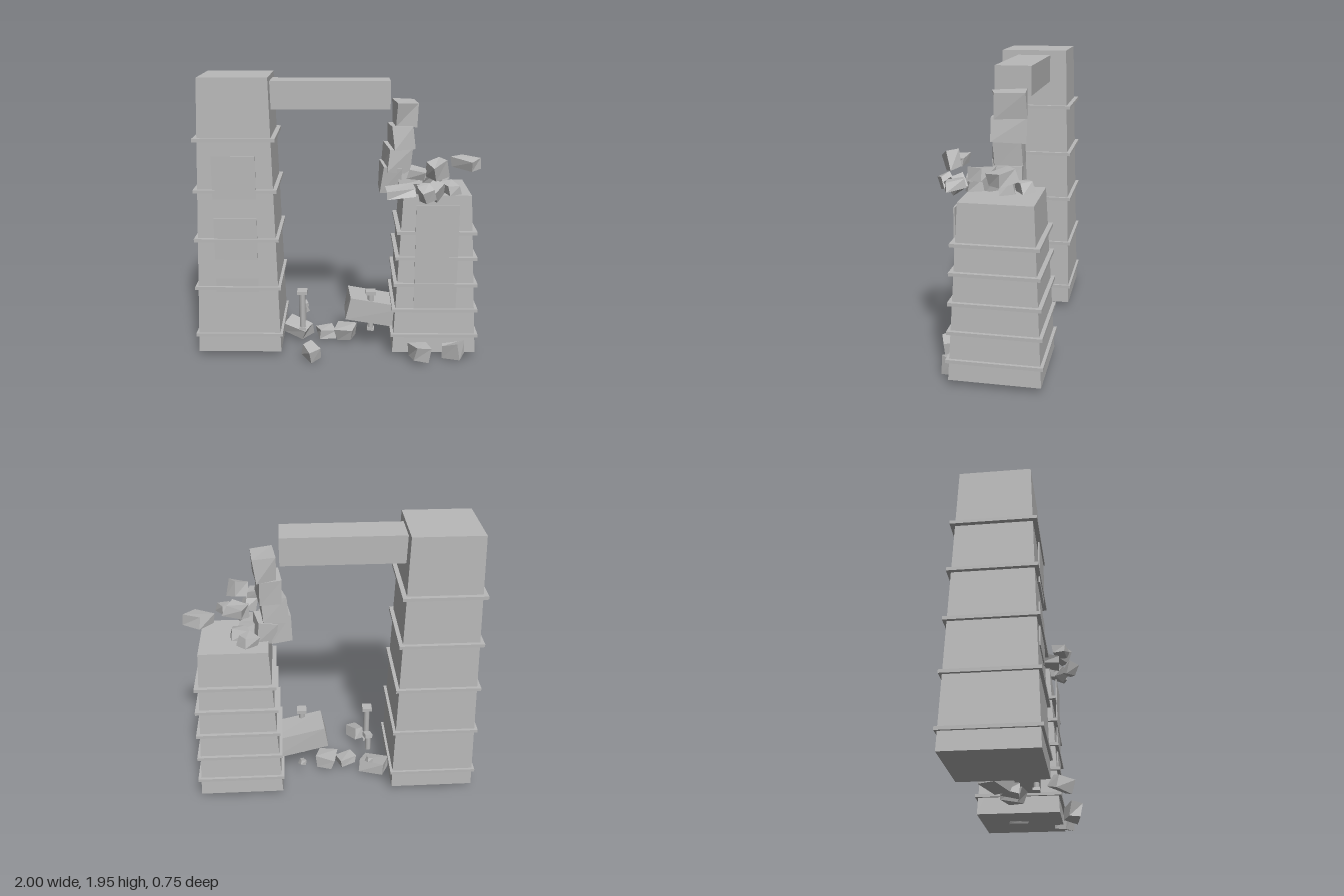
import * as THREE from 'three';

const stone = new THREE.MeshStandardMaterial({ color: 0xb8b8b8 });
stone.name = 'greyStone';

function add(parent, name, geometry, x, y, z, rx = 0, ry = 0, rz = 0) {
  const mesh = new THREE.Mesh(geometry, stone);
  mesh.name = name;
  mesh.position.set(x, y, z);
  mesh.rotation.set(rx, ry, rz);
  parent.add(mesh);
  return mesh;
}

// Square block that narrows from half-width a at the foot to b at the top
function taperedBlock(a, b, height) {
  const g = new THREE.BoxGeometry(2, height, 2);
  const p = g.attributes.position;
  for (let i = 0; i < p.count; i++) {
    const s = p.getY(i) > 0 ? b : a;
    p.setX(i, p.getX(i) * s);
    p.setZ(i, p.getZ(i) * s);
  }
  g.computeVertexNormals();
  return g;
}

// Box whose eight corners are pushed about by a seeded rule, with flat faces
function brokenBlock(w, h, d, seed, amount) {
  const g = new THREE.BoxGeometry(w, h, d).toNonIndexed();
  const p = g.attributes.position;
  const noise = (corner, axis) => {
    const n = Math.sin(seed * 12.99 + corner * 78.23 + axis * 37.72) * 43758.5;
    return (n - Math.floor(n) - 0.5) * amount;
  };
  for (let i = 0; i < p.count; i++) {
    const x = p.getX(i), y = p.getY(i), z = p.getZ(i);
    const corner = (x > 0 ? 1 : 0) + (y > 0 ? 2 : 0) + (z > 0 ? 4 : 0);
    p.setXYZ(i, x + noise(corner, 0) * w, y + noise(corner, 1) * h, z + noise(corner, 2) * d);
  }
  g.computeVertexNormals();
  return g;
}

const CENTRE_Z = -0.07;
const FOOT_Y = 0.04;

// Tapered pylon with projecting bands
function tower(name, x, footHalf, topHalf, topY, bandYs, bandLow, bandHigh) {
  const group = new THREE.Group();
  group.name = name;
  const height = topY - FOOT_Y;
  add(group, 'towerBody', taperedBlock(footHalf, topHalf, height), x, FOOT_Y + height / 2, CENTRE_Z);
  bandYs.forEach((y, i) => {
    const half = THREE.MathUtils.lerp(bandLow, bandHigh, i / (bandYs.length - 1));
    add(group, 'band', new THREE.BoxGeometry(half * 2, 0.022, half * 2), x, y, CENTRE_Z);
  });
  return group;
}

// Thin upright plate standing off the sloping front
function panel(parent, x, bottom, top) {
  add(parent, 'frontPanel', new THREE.BoxGeometry(0.292, top - bottom, 0.009), x, (top + bottom) / 2, 0.202);
}

// Slim post with a square cap and a small foot
function post(x) {
  const group = new THREE.Group();
  group.name = 'post';
  add(group, 'shaft', new THREE.CylinderGeometry(0.021, 0.021, 0.27, 8), x, 0.29, 0.075);
  add(group, 'cap', new THREE.BoxGeometry(0.07, 0.026, 0.07), x, 0.435, 0.075);
  add(group, 'foot', new THREE.BoxGeometry(0.05, 0.02, 0.05), x, 0.157, 0.075, 0, 0, -0.15);
  // snapped post and loose chip behind it
  add(group, 'brokenShaft', new THREE.CylinderGeometry(0.021, 0.021, 0.12, 8), x, 0.22, -0.06);
  add(group, 'brokenCap', new THREE.BoxGeometry(0.055, 0.03, 0.055), x + 0.005, 0.285, -0.06, 0.1, 0.3, 0.12);
  add(group, 'chip', brokenBlock(0.04, 0.035, 0.045, 3, 0.3), x + 0.006, 0.18, -0.215, 0.2, 0.4, 0.2);
  return group;
}

// Each row: x, y, z, width, height, depth, turn about x, y, z
const LEANING_STACK = [
  [0.45, 1.69, -0.07, 0.14, 0.155, 0.2, 0.04, 0.12, -0.05],
  [0.425, 1.53, -0.06, 0.145, 0.165, 0.21, -0.05, 0.1, 0.06],
  [0.405, 1.38, -0.05, 0.16, 0.17, 0.2, 0.05, 0.15, -0.08],
  [0.355, 1.245, -0.05, 0.14, 0.19, 0.19, 0.04, 0.1, -0.04],
  [0.46, 1.22, -0.06, 0.13, 0.15, 0.18, 0, 0.2, 0.1],
];
const TOP_RUBBLE = [
  [0.65, 1.37, 0.25, 0.1, 0.1, 0.09, 0.2, 0.6, 0.1],
  [0.52, 1.335, 0.24, 0.11, 0.055, 0.1, 0.1, -0.3, -0.1],
  [0.9, 1.33, -0.11, 0.17, 0.07, 0.11, 0.1, -0.7, 0.02],
  [0.42, 1.2, 0.17, 0.18, 0.055, 0.13, 0.1, 0.2, 0.05],
  [0.58, 1.21, 0.31, 0.09, 0.09, 0.08, 0.3, 0.5, 0.2],
  [0.64, 1.22, 0.23, 0.1, 0.1, 0.09, 0.3, 0.8, 0.3],
  [0.74, 1.235, 0.2, 0.09, 0.06, 0.12, 0.1, 0.4, 0.05],
  [0.655, 1.29, 0.07, 0.13, 0.08, 0.11, 0.2, -0.4, 0.15],
  [0.57, 1.2, -0.19, 0.1, 0.07, 0.09, 0.1, 0.6, 0.1],
  [0.64, 1.2, -0.08, 0.1, 0.07, 0.1, 0.1, 0.2, 0.2],
  [0.56, 1.2, 0.01, 0.11, 0.08, 0.11, 0.2, -0.3, 0.1],
  [0.58, 1.19, 0.13, 0.1, 0.07, 0.09, 0, 0.4, 0.1],
];
const GROUND_RUBBLE = [
  [-0.3, 0.07, -0.12, 0.18, 0.08, 0.13, 0.1, -0.45, -0.08],
  [-0.19, 0.07, 0.27, 0.09, 0.08, 0.12, 0.2, 0.6, 0.1],
  [-0.09, 0.07, -0.06, 0.13, 0.06, 0.1, 0.1, 0.3, -0.08],
  [0.05, 0.075, -0.06, 0.12, 0.09, 0.13, 0.1, -0.25, 0.05],
  [0.56, 0.08, 0.305, 0.13, 0.1, 0.1, 0.1, 0.35, -0.15],
  [0.8, 0.07, 0.22, 0.13, 0.11, 0.1, 0.15, -0.35, 0.15],
  [0.66, 0.04, -0.1, 0.12, 0.03, 0.14, 0, 0.3, 0],
];

function rubble(name, rows, seed, amount) {
  const group = new THREE.Group();
  group.name = name;
  rows.forEach(([x, y, z, w, h, d, rx, ry, rz], i) =>
    add(group, 'stoneBlock', brokenBlock(w, h, d, seed + i, amount), x, y, z, rx, ry, rz));
  return group;
}

export function createModel() {
  const model = new THREE.Group();
  model.name = 'ruinedGateway';

  // Complete tower with three square panels
  const tall = tower('completeTower', -0.695, 0.29, 0.232, 1.95, [0.17, 0.515, 0.86, 1.2, 1.545], 0.303, 0.274);
  for (const y of [0.29, 0.72, 1.147]) panel(tall, -0.7, y, y + 0.292);

  // Broken tower with one tall panel
  const broken = tower('brokenTower', 0.667, 0.291, 0.23, 1.165, [0.17, 0.355, 0.54, 0.73, 0.91], 0.304, 0.273);
  panel(broken, 0.667, 0.34, 1.11);
  model.add(tall, broken);

  // Lintel still held by the complete tower, and its fallen piece
  add(model, 'lintel', new THREE.BoxGeometry(0.86, 0.188, 0.236), -0.085, 1.822, CENTRE_Z);
  add(model, 'fallenLintel', brokenBlock(0.43, 0.165, 0.235, 5, 0.03), 0.27, 0.28, -0.02, 0.02, 0.06, -0.19);

  model.add(post(-0.26), post(0.226));
  model.add(rubble('leaningStack', LEANING_STACK, 11, 0.14));
  model.add(rubble('topRubble', TOP_RUBBLE, 31, 0.28));
  model.add(rubble('groundRubble', GROUND_RUBBLE, 61, 0.28));
  return model;
}
